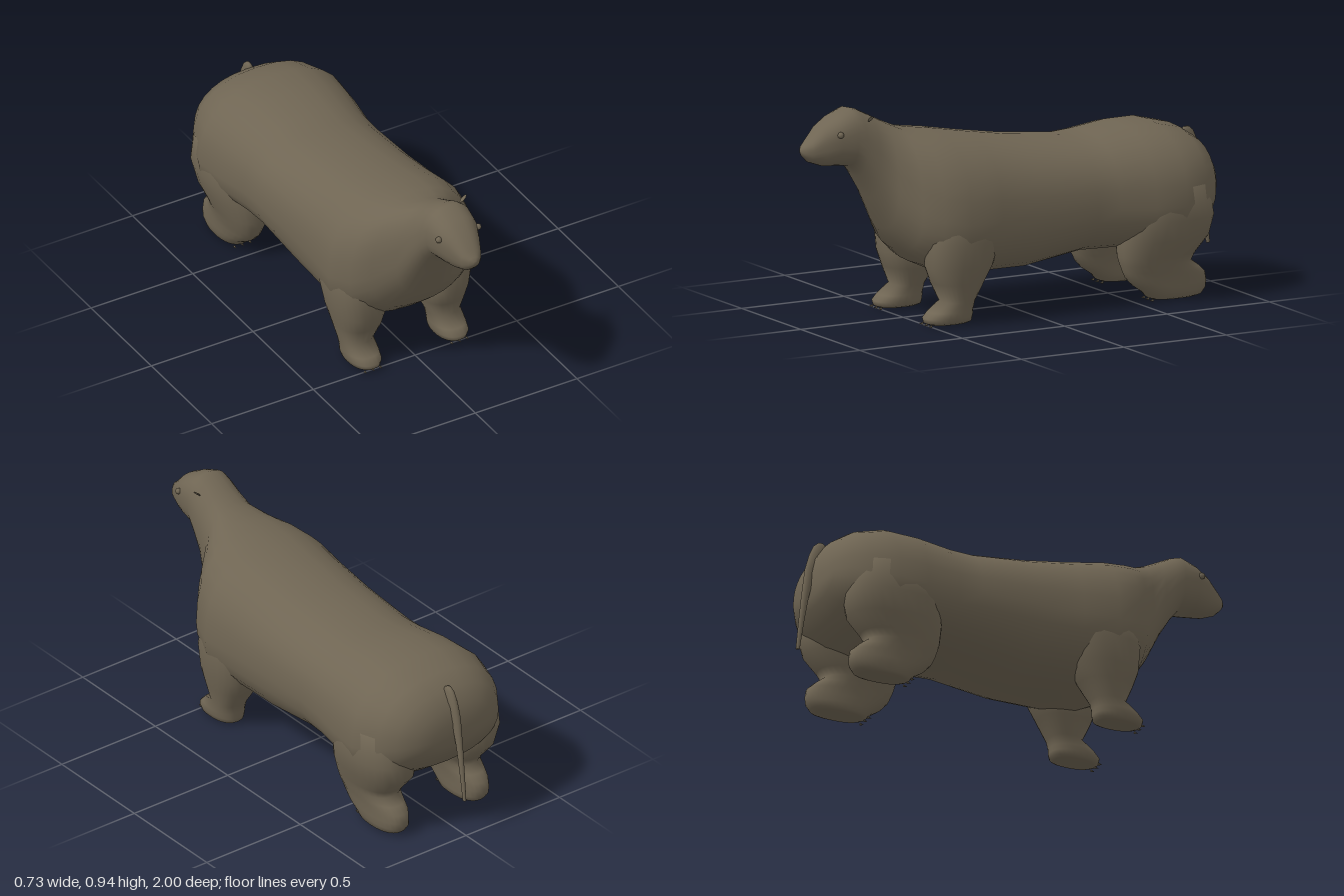
import * as THREE from 'three';

const hide = new THREE.MeshStandardMaterial({ color: 0x6f6553 });
hide.name = 'brown hide';

const SIDES = 28;

// Skin a closed solid over a list of rings (arrays of Vector3).
function loft(rings) {
  const pos = [], idx = [];
  rings.forEach(r => r.forEach(p => pos.push(p.x, p.y, p.z)));
  const at = (i, j) => i * SIDES + (j % SIDES);
  for (let i = 0; i < rings.length - 1; i++) {
    for (let j = 0; j < SIDES; j++) {
      const a = at(i, j), b = at(i, j + 1), c = at(i + 1, j), d = at(i + 1, j + 1);
      idx.push(a, b, c, b, d, c);
    }
  }
  const last = rings.length - 1;
  [0, last].forEach(i => {
    const m = new THREE.Vector3();
    rings[i].forEach(p => m.addScaledVector(p, 1 / SIDES));
    const k = pos.length / 3;
    pos.push(m.x, m.y, m.z);
    for (let j = 0; j < SIDES; j++) {
      if (i === 0) idx.push(k, at(i, j + 1), at(i, j));
      else idx.push(k, at(i, j), at(i, j + 1));
    }
  });
  const g = new THREE.BufferGeometry();
  g.setAttribute('position', new THREE.Float32BufferAttribute(pos, 3));
  g.setIndex(idx);
  g.computeVertexNormals();
  return g;
}

// Rounded-square sine and cosine.
const bow = (v, e) => Math.sign(v) * Math.pow(Math.abs(v), e);
const around = fn => Array.from({ length: SIDES }, (_, j) => fn((j / SIDES) * Math.PI * 2));

// Upright section facing z: [z, top, bottom, height of widest point, half width]
const bodyRing = ([z, top, bottom, mid, w]) => around(t => {
  const s = bow(Math.sin(t), 0.85);
  return new THREE.Vector3(w * bow(Math.cos(t), 0.85), mid + s * (s > 0 ? top - mid : mid - bottom), z);
});

// Level section: [y, inner x, outer x, back z, front z]
const levelRing = (side, e) => ([y, x0, x1, z0, z1]) => around(t => new THREE.Vector3(
  side * (x0 + x1) / 2 + bow(Math.cos(t), e) * (x1 - x0) / 2, y,
  (z0 + z1) / 2 - bow(Math.sin(t), e) * (z1 - z0) / 2));

const BODY = [
  [-0.93, 0.53, 0.42, 0.47, 0.12], [-0.915, 0.60, 0.38, 0.47, 0.20],
  [-0.87, 0.665, 0.31, 0.46, 0.275], [-0.80, 0.71, 0.26, 0.44, 0.325],
  [-0.68, 0.74, 0.23, 0.42, 0.365], [-0.54, 0.74, 0.22, 0.42, 0.35],
  [-0.38, 0.72, 0.22, 0.43, 0.325], [-0.27, 0.712, 0.222, 0.44, 0.322],
  [0, 0.742, 0.178, 0.44, 0.322], [0.20, 0.775, 0.18, 0.44, 0.33],
  [0.36, 0.805, 0.19, 0.44, 0.343], [0.47, 0.822, 0.24, 0.46, 0.305],
  [0.54, 0.835, 0.30, 0.50, 0.24], [0.61, 0.865, 0.40, 0.58, 0.155],
  [0.68, 0.90, 0.54, 0.70, 0.127], [0.74, 0.93, 0.64, 0.77, 0.118],
  [0.78, 0.94, 0.69, 0.81, 0.112], [0.85, 0.91, 0.695, 0.82, 0.10],
  [0.91, 0.875, 0.70, 0.80, 0.075], [0.965, 0.815, 0.72, 0.775, 0.05],
  [0.99, 0.795, 0.745, 0.77, 0.028], [1.0, 0.78, 0.76, 0.77, 0.01],
];

const FRONT_LEG = [
  [0.006, 0.16, 0.265, 0.315, 0.495], [0.014, 0.145, 0.28, 0.30, 0.515],
  [0.035, 0.14, 0.287, 0.295, 0.52], [0.06, 0.14, 0.287, 0.295, 0.495],
  [0.10, 0.14, 0.287, 0.288, 0.435], [0.18, 0.105, 0.305, 0.24, 0.47],
  [0.25, 0.09, 0.32, 0.20, 0.495], [0.36, 0.10, 0.335, 0.17, 0.50],
  [0.50, 0.13, 0.32, 0.18, 0.47],
];

const HIND_LEG = [
  [0.006, 0.16, 0.265, -0.80, -0.59], [0.014, 0.145, 0.28, -0.825, -0.57],
  [0.04, 0.14, 0.287, -0.845, -0.545], [0.07, 0.14, 0.29, -0.848, -0.50],
  [0.105, 0.135, 0.292, -0.842, -0.468], [0.135, 0.13, 0.298, -0.81, -0.455],
  [0.165, 0.12, 0.305, -0.77, -0.445], [0.20, 0.11, 0.315, -0.79, -0.435],
  [0.27, 0.09, 0.34, -0.85, -0.43], [0.36, 0.08, 0.36, -0.87, -0.44],
  [0.50, 0.12, 0.35, -0.84, -0.48],
];

const TAIL = [
  [0.17, -0.007, 0.007, -0.998, -0.98], [0.30, -0.010, 0.010, -0.985, -0.96],
  [0.42, -0.013, 0.013, -0.972, -0.938], [0.55, -0.018, 0.018, -0.955, -0.905],
  [0.62, -0.019, 0.019, -0.935, -0.87], [0.665, -0.016, 0.016, -0.915, -0.845],
  [0.682, -0.008, 0.008, -0.895, -0.87],
];

export function createModel() {
  const model = new THREE.Group();
  model.name = 'animal';
  const add = (name, geometry, parent = model) => {
    const mesh = new THREE.Mesh(geometry, hide);
    mesh.name = name;
    parent.add(mesh);
    return mesh;
  };

  add('bodyAndHead', loft(BODY.map(bodyRing)));
  add('tail', loft(TAIL.map(levelRing(1, 1))));

  const clawShape = new THREE.ConeGeometry(0.006, 0.018, 5).rotateX(Math.PI / 2);
  const eyeShape = new THREE.SphereGeometry(0.014, 10, 8);

  for (const [label, side] of [['left', 1], ['right', -1]]) {
    for (const [end, rows, toe] of [['Front', FRONT_LEG, 0.514], ['Hind', HIND_LEG, -0.568]]) {
      const leg = new THREE.Group();
      leg.name = label + end + 'Leg';
      model.add(leg);
      add('legAndFoot', loft(rows.map(levelRing(side, 0.85))), leg);
      // Three small claws at the front of each foot
      [0.175, 0.212, 0.25].forEach(x => add('claw', clawShape, leg).position.set(side * x, 0.007, toe));
    }
    add(label + 'Eye', eyeShape, model).position.set(side * 0.097, 0.842, 0.86);
  }

  // Single small leaf-shaped ear on the left of the head
  const ear = add('leftEar', new THREE.SphereGeometry(1, 8, 6));
  ear.scale.set(0.004, 0.021, 0.011);
  ear.position.set(0.106, 0.9, 0.72);
  ear.rotation.z = -0.85;

  return model;
}
